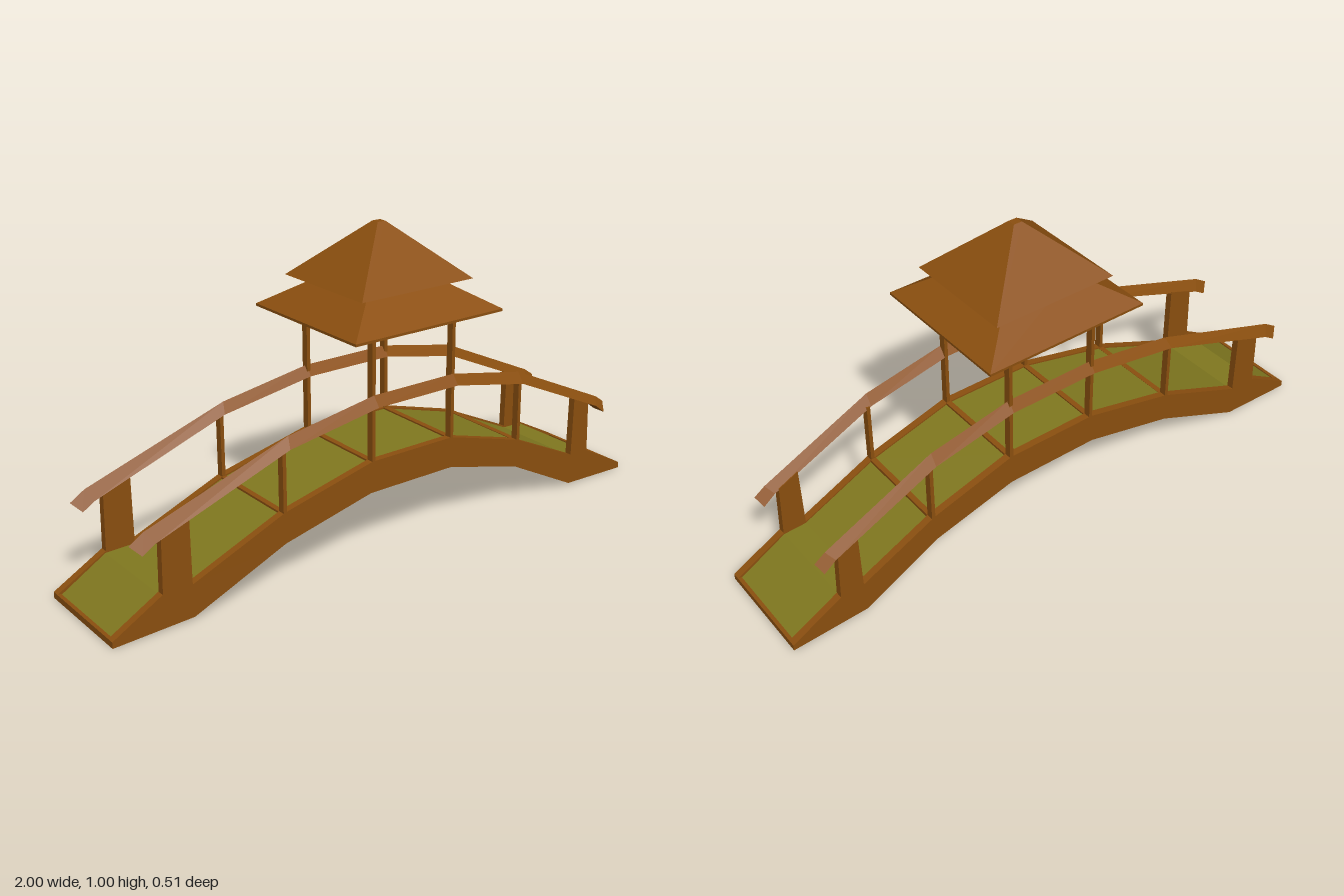
import * as THREE from 'three';

const wood = new THREE.MeshStandardMaterial({ color: 0x8b4f0f, flatShading: true });
const green = new THREE.MeshStandardMaterial({ color: 0x80781f, flatShading: true });

// Outline of the arched bridge: walking line and underside
const TOP = [[-1, 0.02], [-0.84, 0.11], [-0.74, 0.112], [-0.425, 0.24], [-0.105, 0.315],
  [0.21, 0.315], [0.495, 0.234], [0.755, 0.112], [0.83, 0.11], [1, 0.02]];
const BOTTOM = [[1, 0], [0.75, 0.008], [0.49, 0.14], [0.21, 0.213], [-0.11, 0.213],
  [-0.425, 0.14], [-0.74, 0.008], [-1, 0]];

// Handrail: ridge line and lower edge
const RIDGE = [[-0.933, 0.288], [-0.885, 0.318], [-0.41, 0.476], [-0.1, 0.527],
  [0.21, 0.527], [0.49, 0.472], [0.86, 0.302], [0.896, 0.277]];
const EDGE = [[-0.906, 0.26], [-0.865, 0.285], [-0.42, 0.443], [-0.1, 0.495],
  [0.21, 0.495], [0.49, 0.437], [0.84, 0.278], [0.88, 0.247]];

const Z_FRONT = 0.174, Z_BACK = -0.182, BEAM = 0.024;

function add(parent, name, geometry, material = wood) {
  const mesh = new THREE.Mesh(geometry, material);
  mesh.name = name;
  parent.add(mesh);
  return mesh;
}

function slab(points, z0, z1) {
  const shape = new THREE.Shape(points.map(([x, y]) => new THREE.Vector2(x, y)));
  return new THREE.ExtrudeGeometry(shape, { depth: z1 - z0, bevelEnabled: false }).translate(0, 0, z0);
}

function box(x0, x1, y0, y1, z0, z1) {
  return new THREE.BoxGeometry(x1 - x0, y1 - y0, z1 - z0)
    .translate((x0 + x1) / 2, (y0 + y1) / 2, (z0 + z1) / 2);
}

const lower = (points, d) => points.map(([x, y]) => [x, y - d]);

// Triangular rail swept along the ridge and edge lines
function railGeometry(zMid) {
  const half = 0.024, pos = [];
  const rings = RIDGE.map(([rx, ry], i) => {
    const [ex, ey] = EDGE[i];
    return [[ex, ey, zMid + half], [rx, ry, zMid], [ex, ey, zMid - half]];
  });
  const tri = (a, b, c) => pos.push(...a, ...b, ...c);
  for (let i = 0; i < rings.length - 1; i++) {
    for (let k = 0; k < 3; k++) {
      const n = (k + 1) % 3, p = rings[i], q = rings[i + 1];
      tri(p[k], q[k], q[n]);
      tri(p[k], q[n], p[n]);
    }
  }
  const [a, r, b] = rings[0], [c, s, d] = rings[rings.length - 1];
  tri(a, r, b);
  tri(d, s, c);
  const g = new THREE.BufferGeometry();
  g.setAttribute('position', new THREE.Float32BufferAttribute(pos, 3));
  g.computeVertexNormals();
  return g;
}

// Four-sided roof tier with half widths hx, hz and a top shrunk by ratio
function tier(hx, hz, ratio, y0, y1) {
  return new THREE.CylinderGeometry(Math.SQRT2 * ratio, Math.SQRT2, y1 - y0, 4)
    .rotateY(Math.PI / 4).scale(hx, 1, hz).translate(0.053, (y0 + y1) / 2, 0);
}

export function createModel() {
  const model = new THREE.Group();
  model.name = 'footbridge';
  const inFront = Z_FRONT - BEAM, inBack = Z_BACK + BEAM;

  // Bridge body, walking surface and crossbars
  const bridge = new THREE.Group();
  bridge.name = 'bridge';
  model.add(bridge);
  add(bridge, 'bridgeBody', slab([...lower(TOP, 0.014), ...BOTTOM], inBack, inFront));
  const walk = TOP.map(([x, y]) => [x * (Math.abs(x) === 1 ? 0.99 : 1), y]);
  add(bridge, 'deck', slab([...lower(walk, 0.005), ...lower(walk, 0.016).reverse()], inBack, inFront), green);
  for (const [x, y] of [[-0.425, 0.238], [-0.1, 0.315], [0.21, 0.315], [0.5, 0.232]])
    add(bridge, 'crossbar', box(x - 0.009, x + 0.009, y - 0.02, y, inBack, inFront));
  for (const s of [-1, 1])
    add(bridge, 'endLip', box(Math.min(s, s * 0.988), Math.max(s, s * 0.988), 0, 0.02, inBack, inFront));

  // Side beams, posts and handrails
  for (const front of [true, false]) {
    const side = new THREE.Group();
    side.name = front ? 'frontSide' : 'backSide';
    model.add(side);
    const z0 = front ? inFront : Z_BACK, z1 = z0 + BEAM;
    add(side, 'sideBeam', slab([...TOP, ...BOTTOM], z0, z1));
    add(side, 'handrail', railGeometry(front ? 0.174 : -0.171));
    add(side, 'leftEndPost', slab([[0.753, 0.09], [0.832, 0.09], [0.826, 0.288], [0.758, 0.32]], z0, z1));
    add(side, 'rightEndPost', slab([[-0.838, 0.09], [-0.742, 0.09], [-0.744, 0.332], [-0.834, 0.3]], z0, z1));
    for (const [x, y0, y1] of [[-0.425, 0.22, 0.445], [0.5, 0.215, 0.438]])
      add(side, 'railPost', box(x - 0.006, x + 0.006, y0, y1, z0, z1));
    for (const x of [-0.1, 0.21])
      add(side, 'roofPost', box(x - 0.006, x + 0.006, 0.3, 0.728, z0, z1));
  }

  // Two-tier pavilion roof
  const roof = new THREE.Group();
  roof.name = 'roof';
  model.add(roof);
  add(roof, 'eaveBoard', tier(0.281, 0.253, 1, 0.725, 0.733));
  add(roof, 'lowerRoof', tier(0.281, 0.253, 0.445, 0.733, 0.83));
  add(roof, 'upperRoof', tier(0.212, 0.193, 0.068, 0.827, 1));
  return model;
}
